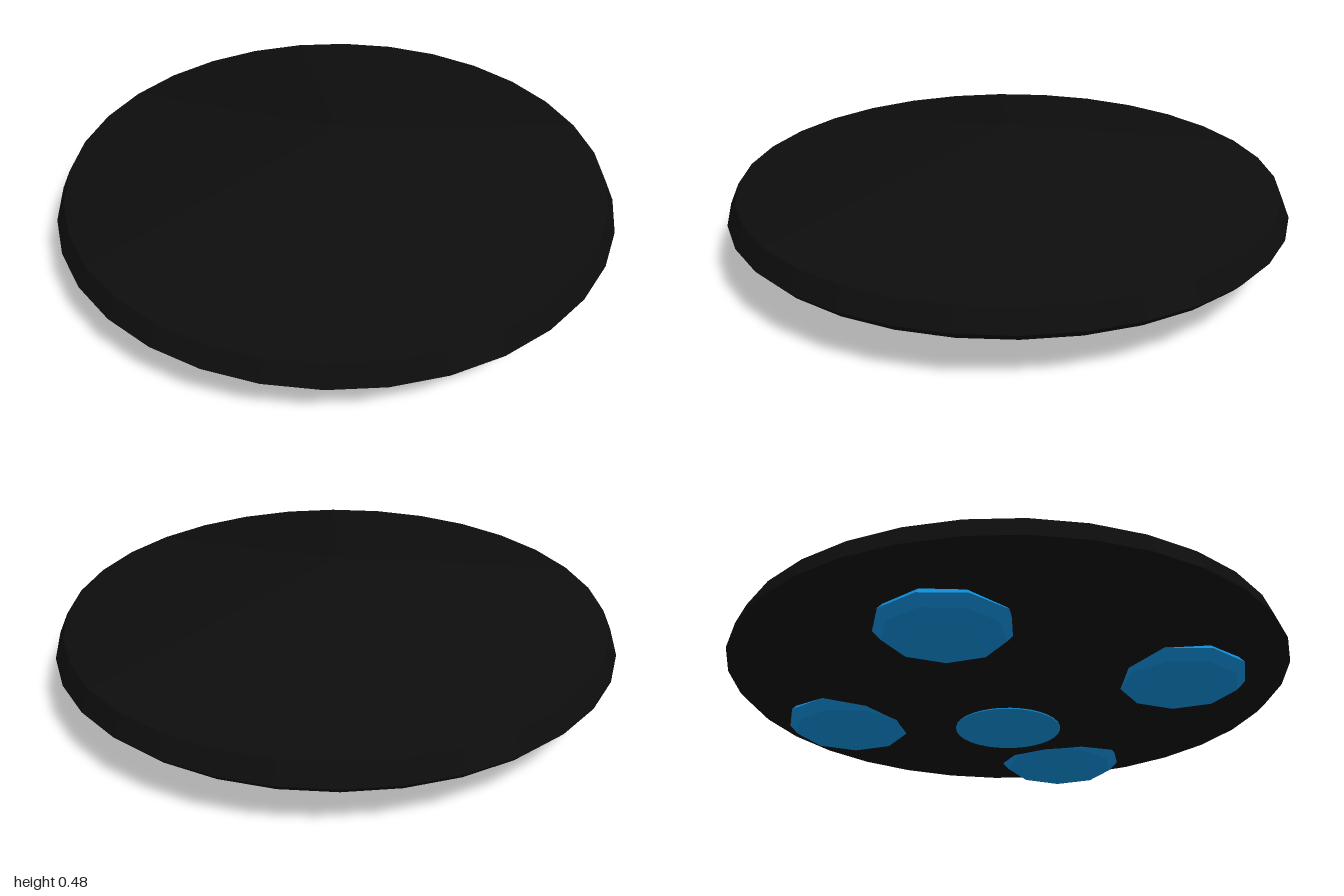
import * as THREE from 'three';

const hullBlack = new THREE.MeshStandardMaterial({ color: 0x0d0d0d });
hullBlack.name = 'hull black';
const glowBlue = new THREE.MeshStandardMaterial({ color: 0x0d8ad4 });
glowBlue.name = 'glow blue';

// Give every facet its own flat normal
function faceted(geometry) {
  const flat = geometry.toNonIndexed();
  flat.computeVertexNormals();
  return flat;
}

function addPart(parent, name, geometry, material) {
  const mesh = new THREE.Mesh(faceted(geometry), material);
  mesh.name = name;
  parent.add(mesh);
  return mesh;
}

export function createModel() {
  const saucer = new THREE.Group();
  saucer.name = 'saucer';

  // Hull: shallow cone above, bevelled rim, stepped belly below
  const profile = [
    [0, 0.004], [0.185, 0.004], [0.36, 0.067], [0.88, 0.14], [0.97, 0.17],
    [1, 0.2], [0.968, 0.276], [0.03, 0.484], [0, 0.484],
  ].map(([r, y]) => new THREE.Vector2(r, y));
  addPart(saucer, 'hull', new THREE.LatheGeometry(profile, 32), hullBlack);

  // Glowing plate under the belly
  const plate = addPart(saucer, 'bellyLight', new THREE.CylinderGeometry(0.184, 0.184, 0.005, 32), glowBlue);
  plate.position.y = 0.0025;

  // Four flattened thruster domes, half sunk into the underside
  const dome = new THREE.SphereGeometry(0.235, 9, 6).scale(1, 0.07 / 0.235, 1);
  const spots = { front: [0, 1], left: [1, 0], back: [0, -1], right: [-1, 0] };
  for (const [side, [x, z]] of Object.entries(spots)) {
    const thruster = addPart(saucer, side + 'Thruster', dome, glowBlue);
    thruster.position.set(x * 0.62 - 0.006, 0.11, z * 0.62 + 0.005);
  }

  return saucer;
}
